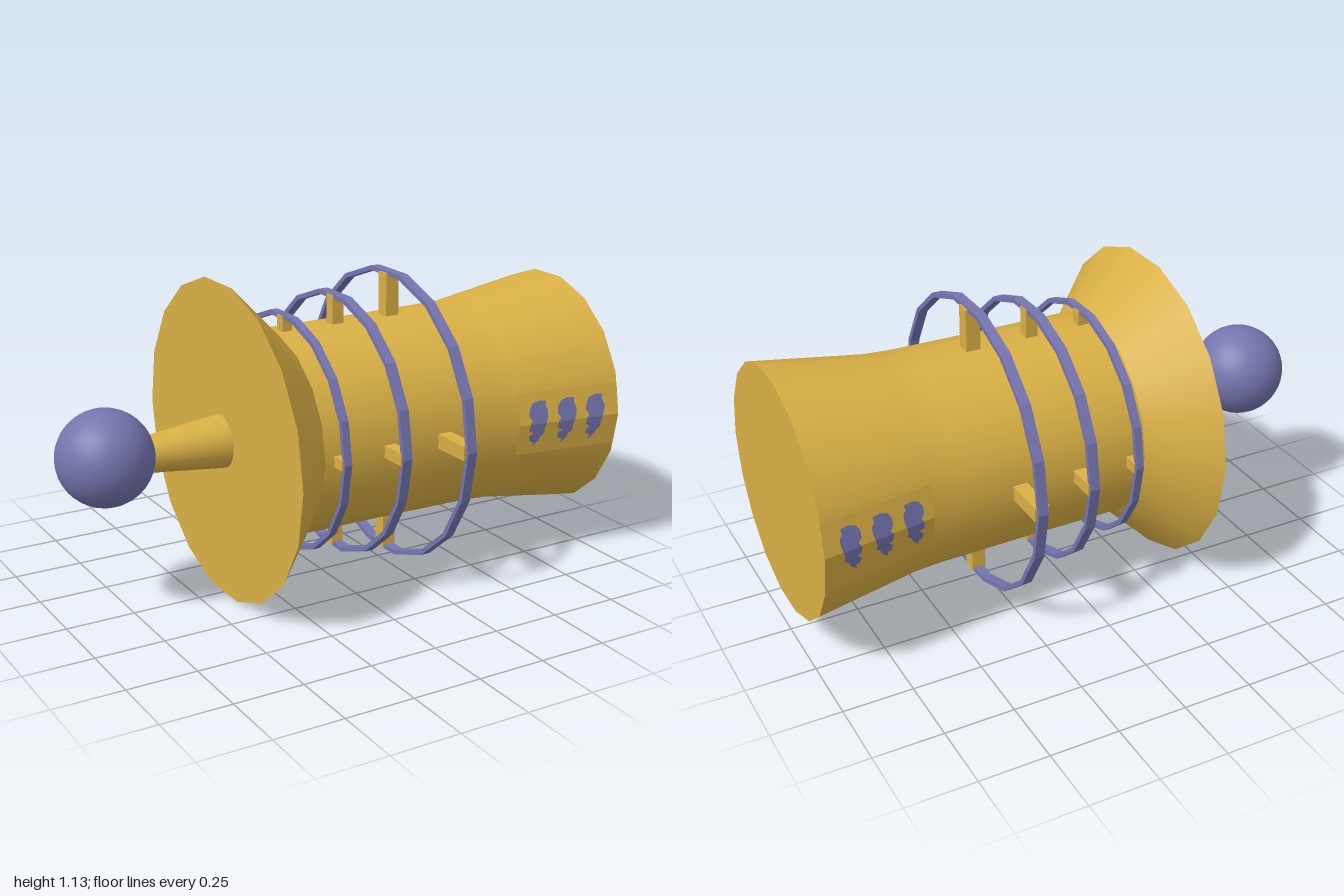
import * as THREE from 'three';

const SIDES = 18;
const AXIS_Y = 0.566;
const SLOPE = Math.tan(Math.PI / SIDES);

// Barrel profile: [x, radius]
const PROFILE = [[-0.2, 0.372], [0.2, 0.374], [0.5, 0.378], [0.6, 0.384], [1, 0.446]];

function radiusAt(x) {
  for (let i = 1; i < PROFILE.length; i++) {
    const [x0, r0] = PROFILE[i - 1], [x1, r1] = PROFILE[i];
    if (x <= x1) return r0 + (r1 - r0) * (x - x0) / (x1 - x0);
  }
  return PROFILE[PROFILE.length - 1][1];
}

export function createModel() {
  const model = new THREE.Group();
  model.name = 'ringedBarrel';
  const gold = new THREE.MeshStandardMaterial({ color: 0xdab045 });
  gold.name = 'gold';
  const blue = new THREE.MeshStandardMaterial({ color: 0x7575b0 });
  blue.name = 'dusty blue';
  // Flat markings are seen from either side
  const goldSheet = gold.clone();
  const blueSheet = blue.clone();
  goldSheet.name = 'gold sheet';
  blueSheet.name = 'dusty blue sheet';
  goldSheet.side = blueSheet.side = THREE.DoubleSide;

  const add = (name, geometry, material, x = 0, y = 0, z = 0) => {
    const mesh = new THREE.Mesh(geometry, material);
    mesh.name = name;
    mesh.position.set(x, AXIS_Y + y, z);
    model.add(mesh);
    return mesh;
  };
  // Turns a shape built around y so that its axis runs along x
  const alongX = (geometry) => geometry.rotateZ(-Math.PI / 2);

  // Barrel with its closed wide end
  const points = PROFILE.map(([x, r]) => new THREE.Vector2(r, x));
  add('barrel', alongX(new THREE.LatheGeometry(points, SIDES)), gold);
  add('barrelEnd', new THREE.CircleGeometry(0.446, SIDES).rotateY(Math.PI / 2), gold, 1);

  // Flared collar, neck and ball
  add('flare', alongX(new THREE.CylinderGeometry(0.372, 0.575, 0.2, SIDES)), gold, -0.3);
  add('neck', alongX(new THREE.CylinderGeometry(0.096, 0.06, 0.32, 24)), gold, -0.55, 0.005);
  add('ball', new THREE.SphereGeometry(0.168, 32, 20), blue, -0.832, 0.02);

  // Hoops, each held off the barrel by four struts
  const hoops = [
    { x: -0.146, r: 0.433, width: 0.028, strut: 0.038, tip: 0.422 },
    { x: 0.057, r: 0.482, width: 0.036, strut: 0.044, tip: 0.472 },
    { x: 0.281, r: 0.54, width: 0.036, strut: 0.052, tip: 0.525 },
  ];
  for (const { x, r, width, strut, tip } of hoops) {
    const h = width / 2, inner = r - 0.017;
    const section = [[inner, -h], [r, -h], [r, h], [inner, h], [inner, -h]]
      .map(([a, b]) => new THREE.Vector2(a, b));
    const hoop = alongX(new THREE.LatheGeometry(section, SIDES)).toNonIndexed();
    hoop.computeVertexNormals();
    add('hoop', hoop, blue, x);

    const length = tip - 0.34, mid = 0.34 + length / 2;
    for (const side of [1, -1]) {
      add('strutVertical', new THREE.BoxGeometry(strut, length, strut), gold, x, side * mid);
      add('strutSide', new THREE.BoxGeometry(strut, strut, length), gold, x, 0, side * mid);
    }
  }

  // Lays a flat geometry onto the two facets meeting at the barrel's side
  const wrap = (geometry, side, lift) => {
    const p = geometry.attributes.position;
    for (let i = 0; i < p.count; i++) {
      const z = radiusAt(p.getX(i)) - Math.abs(p.getY(i)) * SLOPE + lift;
      p.setZ(i, side * z);
    }
    if (side < 0) {
      const index = geometry.index.array;
      for (let i = 0; i < index.length; i += 3) {
        [index[i], index[i + 1]] = [index[i + 1], index[i]];
      }
    }
    const flat = geometry.toNonIndexed();
    flat.computeVertexNormals();
    return flat;
  };

  // Upper and lower halves of the ragged painted mark
  const markHalves = [
    [[-0.036, 0], [-0.026, 0.012], [-0.038, 0.03], [-0.036, 0.055], [-0.022, 0.076],
      [0.005, 0.084], [0.032, 0.08], [0.028, 0.064], [0.038, 0.045], [0.036, 0.022], [0.03, 0]],
    [[0.03, 0], [0.024, -0.018], [0.026, -0.04], [0.012, -0.05], [0.004, -0.068],
      [-0.02, -0.088], [-0.014, -0.07], [-0.03, -0.066], [-0.034, -0.045], [-0.018, -0.035],
      [-0.036, -0.025], [-0.036, 0]],
  ];
  for (const side of [1, -1]) {
    // Facetted panel behind the marks
    const panel = new THREE.PlaneGeometry(0.4, 0.23, 4, 2).translate(0.8, 0, 0);
    add('sidePanel', wrap(panel, side, 0.0015), goldSheet);
    for (const x of [0.675, 0.79, 0.905]) {
      for (const half of markHalves) {
        const shape = new THREE.Shape(half.map(([a, b]) => new THREE.Vector2(x + a, b)));
        add('paintedMark', wrap(new THREE.ShapeGeometry(shape), side, 0.004), blueSheet);
      }
    }
  }
  return model;
}
